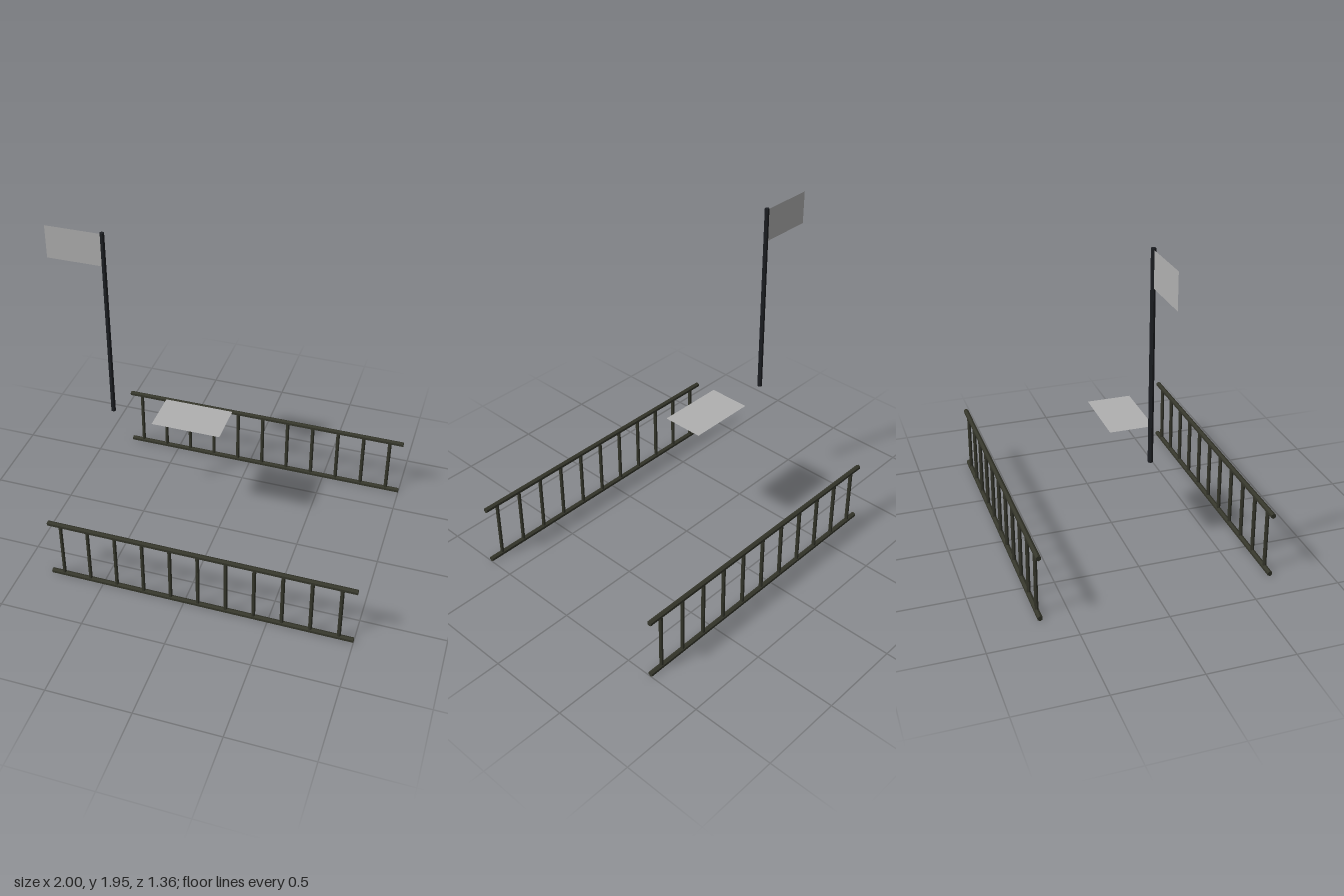
import * as THREE from 'three';

const frameMat = new THREE.MeshStandardMaterial({ color: 0x35362b });
frameMat.name = 'dark olive metal';
const poleMat = new THREE.MeshStandardMaterial({ color: 0x1d1f23 });
poleMat.name = 'black pole';
const sheetMat = new THREE.MeshStandardMaterial({ color: 0xb0b0b0, side: THREE.DoubleSide });
sheetMat.name = 'grey sheet';

function addMesh(parent, name, geometry, material, x, y, z) {
  const mesh = new THREE.Mesh(geometry, material);
  mesh.name = name;
  mesh.position.set(x, y, z);
  parent.add(mesh);
  return mesh;
}

// Upright six-sided bar with corners pointing along x
function hexBar(rTop, rBottom, length) {
  return new THREE.CylinderGeometry(rTop, rBottom, length, 6).toNonIndexed().rotateY(Math.PI / 2);
}

export function createModel() {
  const model = new THREE.Group();
  model.name = 'railingsAndFlag';

  // Bars are faceted, so their normals are taken per face
  const flat = (geometry) => {
    geometry.computeVertexNormals();
    return geometry;
  };

  // Two ladder-like side railings: long rails joined by eleven uprights
  const lowY = 0.02, highY = 0.395, left = -0.822, right = 1;
  const railGeo = flat(hexBar(0.0155, 0.0155, right - left).rotateZ(Math.PI / 2));
  const uprightGeo = flat(hexBar(0.0115, 0.0115, highY - lowY));
  for (const side of [1, -1]) {
    const railing = new THREE.Group();
    railing.name = side > 0 ? 'frontRailing' : 'backRailing';
    railing.position.z = side * 0.668;
    addMesh(railing, 'bottomRail', railGeo, frameMat, (left + right) / 2, lowY, 0);
    addMesh(railing, 'topRail', railGeo, frameMat, (left + right) / 2, highY, 0);
    for (let i = 0; i < 11; i++) {
      addMesh(railing, 'upright', uprightGeo, frameMat, -0.745 + i * 0.166, (lowY + highY) / 2, 0);
    }
    model.add(railing);
  }

  // Flag pole with a flat flag
  const poleBottom = 0.767, poleTop = 1.957;
  addMesh(model, 'flagPole', flat(hexBar(0.0135, 0.0145, poleTop - poleBottom)), poleMat,
    -0.66, (poleBottom + poleTop) / 2, 0);
  addMesh(model, 'flag', new THREE.PlaneGeometry(0.335, 0.2), sheetMat, -0.8325, 1.848, 0);

  // Flat horizontal panel in the middle
  addMesh(model, 'panel', new THREE.PlaneGeometry(0.412, 0.253).rotateX(-Math.PI / 2), sheetMat,
    -0.165, 0.82, -0.003);

  return model;
}
